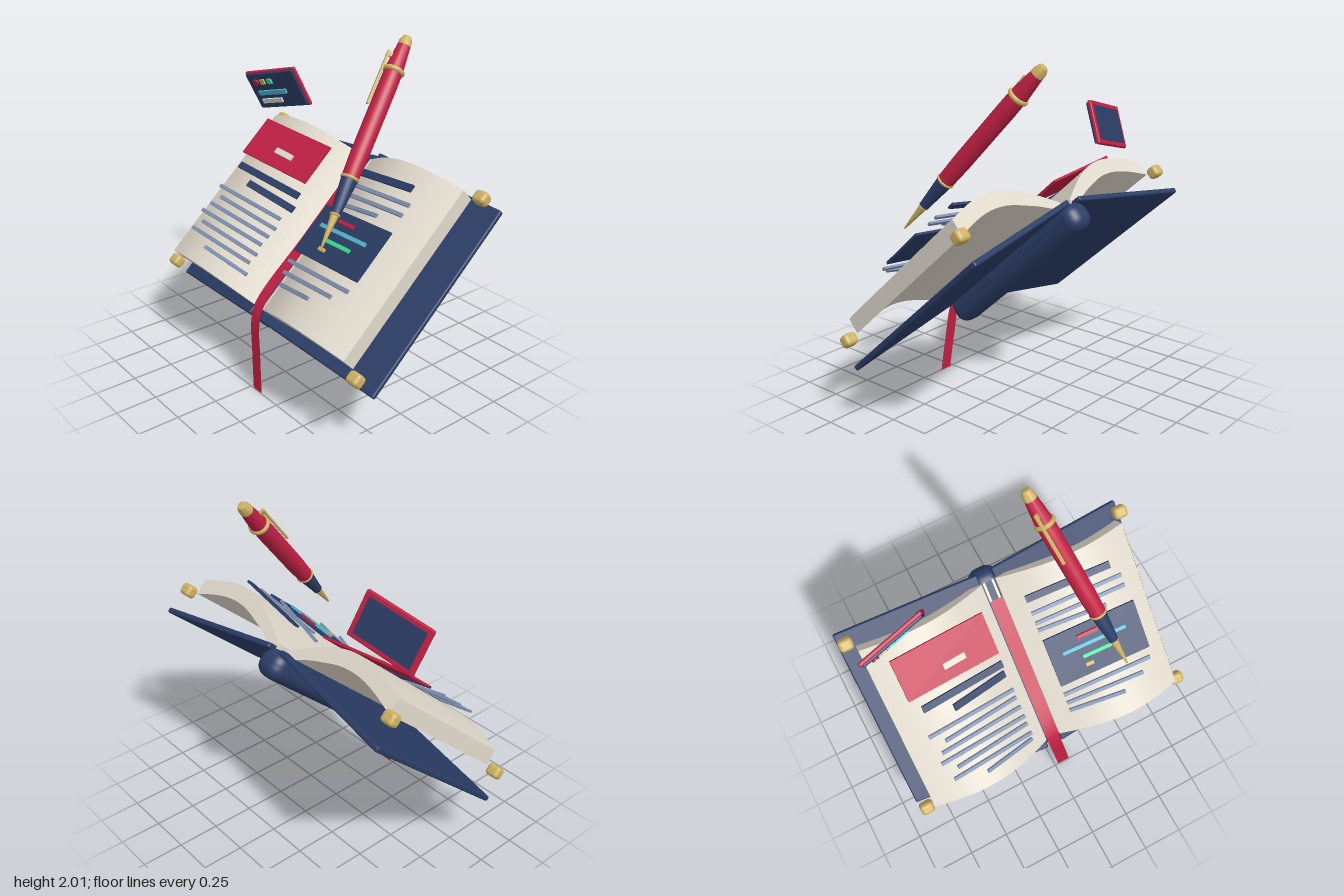
import * as THREE from 'three';
import { toCreasedNormals } from 'three/addons/utils/BufferGeometryUtils.js';
import { RoundedBoxGeometry } from 'three/addons/geometries/RoundedBoxGeometry.js';

const mat = (name, color, extra = {}) => {
  const m = new THREE.MeshStandardMaterial({ color, ...extra });
  m.name = name;
  return m;
};
const navy = mat('navy', 0x2b3d66);
const red = mat('red', 0xc02043);
const redCloth = mat('redCloth', 0xc02043, { side: THREE.DoubleSide });
const cream = mat('cream', 0xe0d9cc);
const gold = mat('gold', 0xcdb163);
const slate = mat('slate', 0x7d8fae);
const cyan = mat('cyan', 0x58b4cf);
const green = mat('green', 0x3ddc97);

function add(parent, name, geometry, material, x = 0, y = 0, z = 0) {
  const mesh = new THREE.Mesh(geometry, material);
  mesh.name = name;
  mesh.position.set(x, y, z);
  parent.add(mesh);
  return mesh;
}
const box = (w, h, d) => new THREE.BoxGeometry(w, h, d);

// Arched page surface: height above the book plane at distance x from the spine
const X0 = 0.045, X1 = 0.83;
const pageHeight = (x) => {
  const t = (x - X0) / (X1 - X0);
  return 0.67 + 0.09 * t + 0.125 * Math.sin(Math.PI * t);
};
const pageTilt = (x) => (pageHeight(x + 0.01) - pageHeight(x - 0.01)) / 0.02 - 0.055;

function pageGeometry(side) {
  const pts = [], steps = 28;
  for (let i = 0; i <= steps; i++) {
    const x = X0 + (X1 - X0) * i / steps;
    pts.push(new THREE.Vector2(side * x, pageHeight(x)));
  }
  for (let i = steps; i >= 0; i--) {
    const x = X0 + (X1 - X0) * i / steps;
    pts.push(new THREE.Vector2(side * x, pageHeight(x) - 0.06 - 0.035 * Math.min(1, 3 * i / steps)));
  }
  const g = new THREE.ExtrudeGeometry(new THREE.Shape(pts), { depth: 1.09, bevelEnabled: false });
  return toCreasedNormals(g.translate(0, 0, -1.11), 0.6);
}

// Flat strip resting on a page, tilted to the slope under its middle
function strip(book, name, side, xa, xb, s, depth, material, lift = 0.012, thick = 0.014) {
  const mid = (xa + xb) / 2;
  const m = add(book, name, box(xb - xa, thick, depth), material, side * mid, pageHeight(mid) + lift, -s);
  m.rotation.z = side * Math.atan(pageTilt(mid));
  return m;
}

function buildBook() {
  const book = new THREE.Group();
  book.name = 'openBook';
  book.rotation.x = 0.733;

  add(book, 'spine', new RoundedBoxGeometry(0.18, 0.165, 1.21, 5, 0.07), navy, 0, 0.562, -0.565);
  for (const side of [-1, 1]) {
    const cover = add(book, 'cover', new RoundedBoxGeometry(0.885, 0.032, 1.21, 2, 0.01), navy, side * 0.482, 0.568, -0.565);
    cover.rotation.z = -side * 0.165;
    add(book, 'pageBlock', pageGeometry(side), cream);
    add(book, 'gutterStrip', box(0.014, 0.07, 1.09), cream, side * 0.028, 0.625, -0.565);
    for (const s of [-0.016, 1.141]) {
      add(book, 'cornerCap', new RoundedBoxGeometry(0.084, 0.072, 0.072, 3, 0.022), gold, side * 0.875, 0.655, -s);
    }
  }

  // Left-hand page: banner, headings and text rows
  strip(book, 'banner', -1, 0.13, 0.71, 0.89, 0.265, red, 0.018);
  strip(book, 'bannerLabel', -1, 0.315, 0.455, 0.855, 0.036, cream, 0.045);
  strip(book, 'heading', -1, 0.13, 0.66, 0.677, 0.042, navy);
  strip(book, 'heading', -1, 0.13, 0.5, 0.598, 0.042, navy);
  [0.695, 0.62, 0.665, 0.695, 0.62, 0.665, 0.475].forEach((x, i) =>
    strip(book, 'textRow', -1, 0.13, x, 0.503 - 0.062 * i, 0.022, slate));

  // Right-hand page: heading, text rows and a picture panel
  strip(book, 'heading', 1, 0.13, 0.645, 0.965, 0.042, navy);
  [[0.69, 0.875], [0.69, 0.81], [0.55, 0.75], [0.69, 0.32], [0.62, 0.252], [0.485, 0.185]].forEach(([x, s]) =>
    strip(book, 'textRow', 1, 0.13, x, s, 0.022, slate));
  const panel = strip(book, 'picturePanel', 1, 0.13, 0.705, 0.543, 0.315, navy, 0.018);
  [[-0.035, -0.095, 0.13, red], [-0.01, -0.035, 0.4, cyan], [0.005, 0.033, 0.22, green], [-0.08, 0.089, 0.05, gold]]
    .forEach(([x, z, w, m]) => add(panel, 'pictureBar', box(w, 0.014, 0.022), m, x, 0.014, z));
  return book;
}

// Ribbon lying in the gutter and hanging below the book
function ribbonGeometry() {
  const path = new THREE.CatmullRomCurve3([
    [0, 1.175, -0.285], [0, 0.84, 0.08], [0, 0.53, 0.42], [0.008, 0.43, 0.462], [0.035, 0.22, 0.482], [0.062, 0.002, 0.497],
  ].map((p) => new THREE.Vector3(...p)), false, 'centripetal');
  const g = new THREE.PlaneGeometry(0.08, 1, 1, 40);
  const p = g.attributes.position;
  for (let i = 0; i < p.count; i++) {
    const c = path.getPoint(0.5 - p.getY(i));
    p.setXYZ(i, c.x + p.getX(i), c.y, c.z);
  }
  g.computeVertexNormals();
  return g;
}

function buildPen() {
  const pen = new THREE.Group();
  pen.name = 'pen';
  const axis = new THREE.Vector3(-0.245, 0.95, -0.8).normalize();
  const out = new THREE.Vector3(-0.47, 0.49, 0.73);
  out.addScaledVector(axis, -out.dot(axis)).normalize();
  const across = new THREE.Vector3().crossVectors(axis, out);
  pen.quaternion.setFromRotationMatrix(new THREE.Matrix4().makeBasis(across, axis, out));
  pen.position.set(0.5, 1.05, 0.375);
  const turn = (name, m, pts) => add(pen, name,
    toCreasedNormals(new THREE.LatheGeometry(pts.map(([r, y]) => new THREE.Vector2(r, y)), 28), 0.6), m);
  turn('nib', gold, [[0, 0], [0.006, 0.015], [0.024, 0.2], [0, 0.2]]);
  turn('grip', navy, [[0, 0.19], [0.027, 0.19], [0.046, 0.4], [0, 0.4]]);
  turn('barrel', red, [[0, 0.4], [0.047, 0.4], [0.052, 0.55], [0.053, 0.95], [0.051, 1.06], [0.036, 1.215], [0, 1.215]]);
  turn('cap', gold, [[0, 1.205], [0.038, 1.205], [0.036, 1.235], [0.024, 1.262], [0, 1.266]]);
  for (const [y, r, tube] of [[0.195, 0.023, 0.007], [0.405, 0.044, 0.009], [1.05, 0.048, 0.015]]) {
    add(pen, 'ring', new THREE.TorusGeometry(r, tube, 10, 28), gold, 0, y, 0).rotation.x = Math.PI / 2;
  }
  add(pen, 'clip', new RoundedBoxGeometry(0.02, 0.33, 0.014, 2, 0.005), gold, 0, 0.98, 0.068);
  add(pen, 'clipMount', box(0.018, 0.025, 0.045), gold, 0, 1.125, 0.052);
  return pen;
}

// Small floating card with coloured buttons and bars
function buildCard() {
  const card = new THREE.Group();
  card.name = 'floatingCard';
  const x = new THREE.Vector3(0.955, 0.239, -0.179).normalize();
  const z = new THREE.Vector3(0.257, -0.351, 0.901).normalize();
  const y = new THREE.Vector3().crossVectors(z, x).normalize();
  card.quaternion.setFromRotationMatrix(new THREE.Matrix4().makeBasis(x, y, z));
  card.position.set(-0.645, 1.55, -0.205);
  add(card, 'cardFrame', new RoundedBoxGeometry(0.42, 0.265, 0.024, 2, 0.008), red);
  add(card, 'cardFace', new RoundedBoxGeometry(0.4, 0.248, 0.02, 2, 0.008), navy, 0, 0, 0.016);
  add(card, 'cardBack', box(0.36, 0.21, 0.006), navy, 0, 0, -0.012);
  [red, gold, green].forEach((m, i) => {
    const g = i ? box(0.034, 0.034, 0.014) : new THREE.CylinderGeometry(0.021, 0.021, 0.014, 20).rotateX(Math.PI / 2);
    add(card, 'button', g, m, -0.133 + 0.06 * i, 0.068, 0.03);
  });
  add(card, 'bar', box(0.235, 0.03, 0.014), cyan, -0.03, -0.009, 0.03);
  add(card, 'bar', box(0.17, 0.03, 0.014), cream, -0.063, -0.068, 0.03);
  return card;
}

export function createModel() {
  const model = new THREE.Group();
  model.name = 'openNotebookWithPen';
  model.add(buildBook(), buildPen(), buildCard());
  add(model, 'ribbon', ribbonGeometry(), redCloth);
  return model;
}
